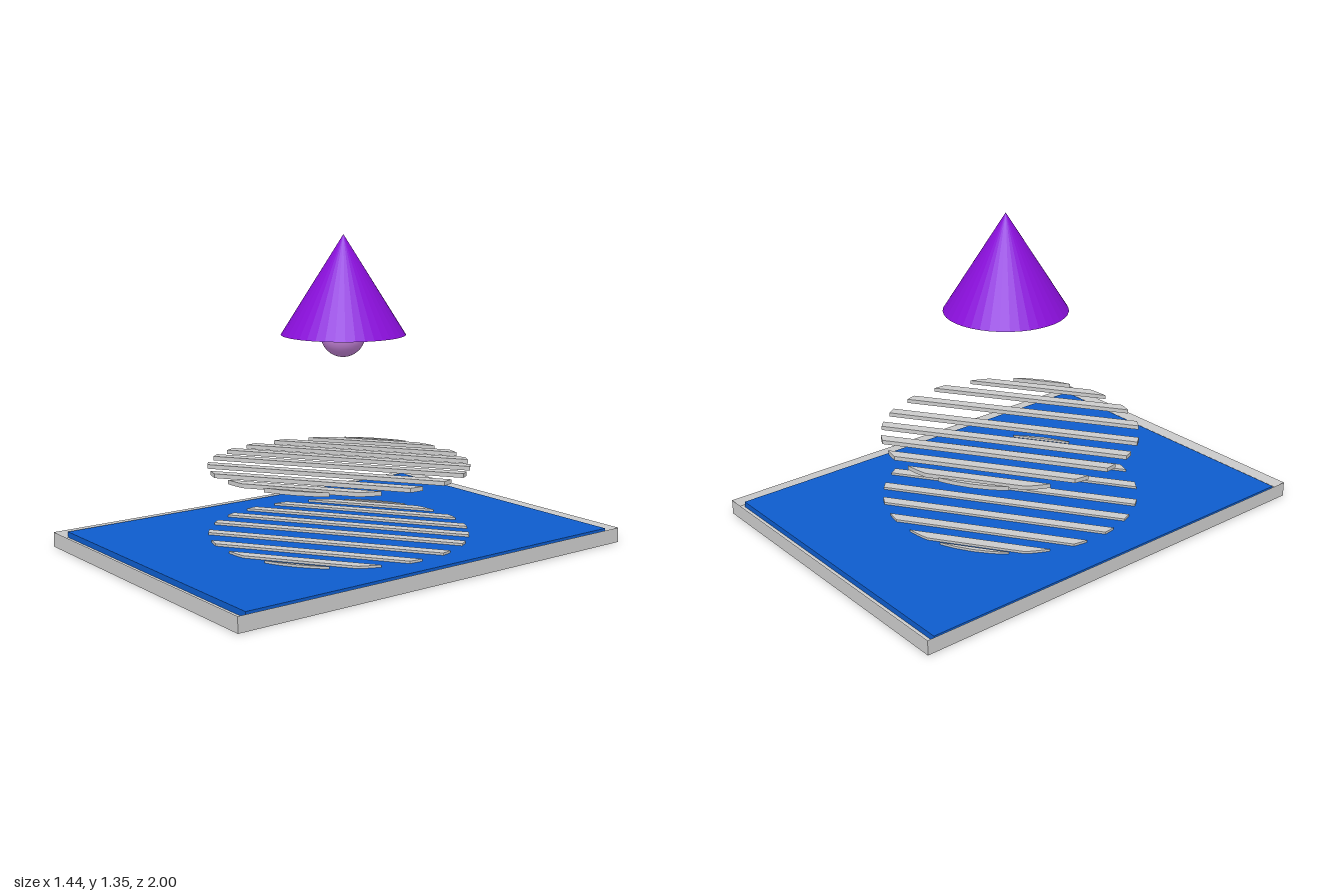
import * as THREE from 'three';

const material = (color, flatShading = true) => {
  const m = new THREE.MeshStandardMaterial({ color });
  m.flatShading = flatShading;
  return m;
};
const grey = material(0xcccccc);

function addPart(parent, name, geometry, mat, x = 0, y = 0, z = 0) {
  const mesh = new THREE.Mesh(geometry, mat);
  mesh.name = name;
  mesh.position.set(x, y, z);
  parent.add(mesh);
  return mesh;
}

// Shallow rectangular dish: rectangles [half x, half z, y] joined in order
function trayGeometry() {
  const rings = [[0, 0, 0], [0.72, 1, 0], [0.72, 1, 0.065], [0.7, 0.98, 0.035], [0, 0, 0.035]];
  const corners = [[1, 1], [1, -1], [-1, -1], [-1, 1]];
  const at = (r, c) => [rings[r][0] * corners[c][0], rings[r][2], rings[r][1] * corners[c][1]];
  const p = [];
  for (let r = 0; r < rings.length - 1; r++) {
    for (let c = 0; c < 4; c++) {
      const d = (c + 1) % 4;
      const quad = [at(r, c), at(r, d), at(r + 1, d), at(r + 1, c)];
      if (r > 0) p.push(...quad[0], ...quad[1], ...quad[2]);
      else p.push(...quad[0], ...quad[3], ...quad[2]).valueOf();
      if (r === 0) { p.length -= 9; p.push(...quad[0], ...quad[2], ...quad[3]); }
      else if (r < rings.length - 2) p.push(...quad[0], ...quad[2], ...quad[3]);
    }
  }
  const g = new THREE.BufferGeometry();
  g.setAttribute('position', new THREE.Float32BufferAttribute(p, 3));
  g.computeVertexNormals();
  return g;
}

// Disc of parallel slats, each trimmed by the same circle
function slatDisc(name, height) {
  const R = 0.565, half = 0.024, steps = 4;
  const centres = [-0.569, -0.5, -0.385, -0.25, -0.115, 0.03, 0.195, 0.352, 0.485, 0.572];
  const disc = new THREE.Group();
  disc.name = name;
  for (const c of centres) {
    const a = Math.max(c - half, -R), b = Math.min(c + half, R);
    const right = [], left = [];
    for (let i = 0; i <= steps; i++) {
      const v = a + (b - a) * i / steps;
      const u = Math.sqrt(Math.max(R * R - v * v, 1e-6));
      right.push(new THREE.Vector2(u, -v));
      left.unshift(new THREE.Vector2(-u, -v));
    }
    const g = new THREE.ExtrudeGeometry(new THREE.Shape([...right, ...left]), { depth: height, bevelEnabled: false });
    g.rotateX(-Math.PI / 2);
    addPart(disc, 'slat', g, grey);
  }
  disc.rotation.y = THREE.MathUtils.degToRad(34.5);
  return disc;
}

export function createModel() {
  const model = new THREE.Group();
  model.name = 'lampOverTray';

  // Tray with a raised sloping rim, and the panel lying in it
  addPart(model, 'tray', trayGeometry(), grey);
  addPart(model, 'bluePanel', new THREE.BoxGeometry(1.385, 0.03, 1.9), material(0x0d5ccc), -0.0125, 0.045, -0.01);

  // Slatted disc on the panel and its twin floating above
  const lower = slatDisc('lowerSlats', 0.02);
  lower.position.set(0.015, 0.05, 0.005);
  const upper = slatDisc('upperSlats', 0.018);
  upper.position.set(0.015, 0.352, 0.005);
  model.add(lower, upper);

  // Conical shade with a bulb showing below it
  addPart(model, 'lampShade', new THREE.ConeGeometry(0.267, 0.425, 40), material(0x8a0fdb), 0.017, 1.1375, -0.017);
  addPart(model, 'bulb', new THREE.SphereGeometry(0.096, 32, 20), material(0xcc88e0, false), 0.02, 0.925, -0.013);

  return model;
}
